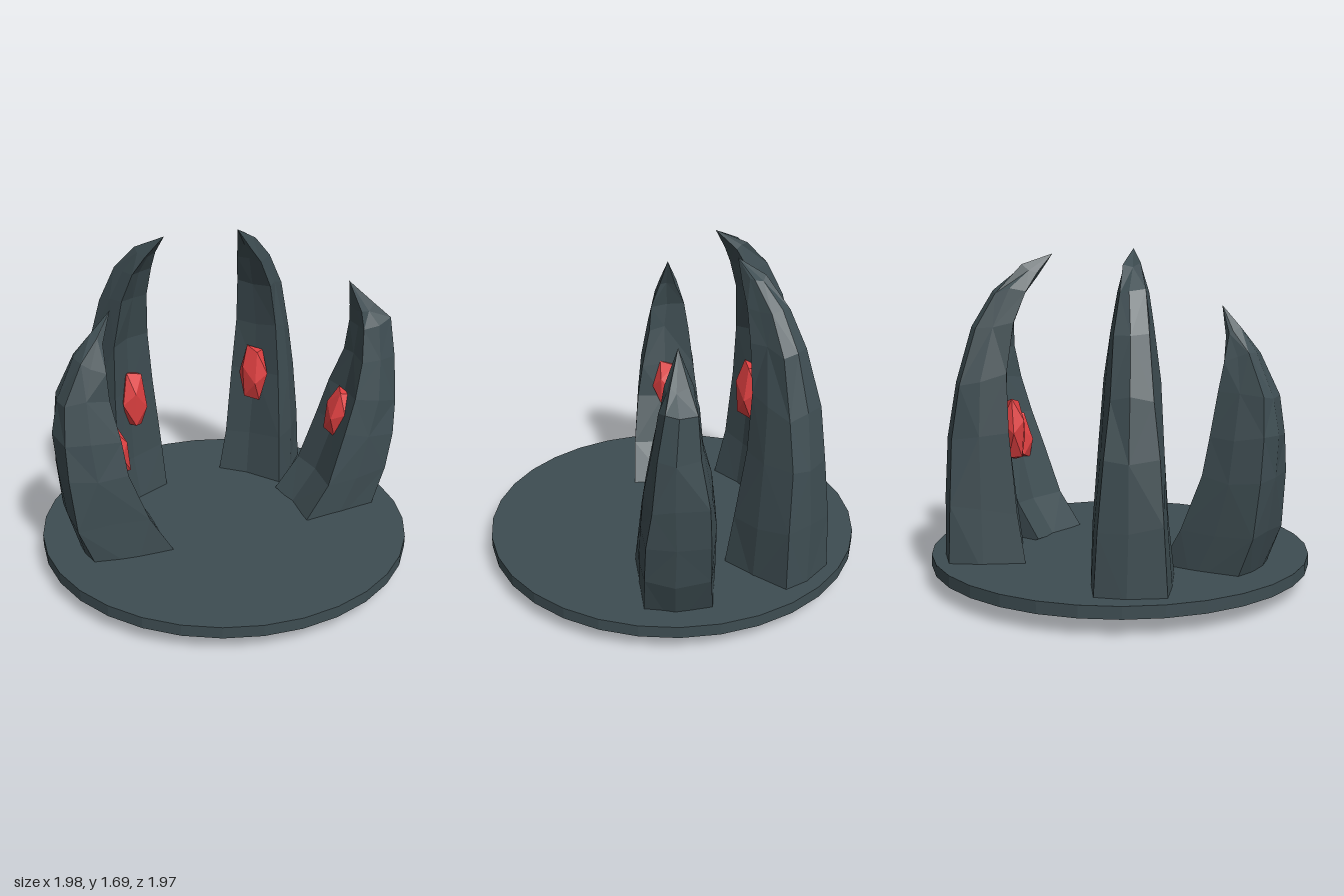
import * as THREE from 'three';

const stone = new THREE.MeshStandardMaterial({ color: 0x3e4d52, flatShading: true });
stone.name = 'slate stone';
const crystal = new THREE.MeshStandardMaterial({ color: 0xe04041, flatShading: true });
crystal.name = 'red crystal';

// Small repeatable noise in -1..1
function makeNoise(seed) {
  let s = seed;
  return () => {
    s = (s * 16807) % 2147483647;
    return (s / 2147483647) * 2 - 1;
  };
}

// Claw-shaped rock. Local +x points outward, z is the width.
// Each row: [inner y, inner x, outer y, outer x, half width]; tip: [y, x]
function spireGeometry(rows, tip, seed) {
  const noise = makeNoise(seed);
  const pos = [];
  const N = 8;
  rows.forEach(([yi, xi, yo, xo, w], r) => {
    // depth fraction (0 inner, 1 outer), x offset, width factor
    const ring = [
      [0, 0, -1], [0, 0.02, -0.1], [0, 0, 1], [0.45, 0, 0.97],
      [1, -0.025, 0.82], [1, 0, 0.1], [1, -0.025, -0.82], [0.5, 0, -0.97],
    ];
    const k = r === 0 ? 1.3 : 1;
    for (const [f, dx, z] of ring) {
      pos.push(
        xi + (xo - xi) * f + dx * Math.min(1, w / 0.1) + noise() * 0.008,
        Math.max(0, yi + (yo - yi) * f + noise() * 0.016 * k),
        w * z + noise() * 0.01,
      );
    }
  });
  const top = pos.length / 3;
  pos.push(tip[1], tip[0], 0);
  const [yi, xi, yo, xo] = rows[0];
  pos.push((xi + xo) / 2, (yi + yo) / 2 + 0.03, 0);
  const idx = [];
  for (let r = 0; r < rows.length; r++) {
    for (let j = 0; j < N; j++) {
      const a = r * N + j, b = r * N + (j + 1) % N;
      if (r === 0) idx.push(b, a, top + 1);
      if (r === rows.length - 1) idx.push(a, b, top);
      else if ((r + j) % 2) idx.push(a, b, b + N, a, b + N, a + N);
      else idx.push(a, b, a + N, b, b + N, a + N);
    }
  }
  const g = new THREE.BufferGeometry();
  g.setAttribute('position', new THREE.Float32BufferAttribute(pos, 3));
  g.setIndex(idx);
  const flat = g.toNonIndexed();
  flat.computeVertexNormals();
  return flat;
}

const rightRows = [
  [0.14, 0.38, 0.01, 0.77, 0.2], [0.34, 0.5, 0.34, 0.88, 0.19],
  [0.6, 0.585, 0.6, 0.905, 0.175], [0.8, 0.62, 0.8, 0.912, 0.155],
  [1.0, 0.65, 1.0, 0.89, 0.115], [1.15, 0.665, 1.2, 0.795, 0.085],
  [1.27, 0.65, 1.31, 0.695, 0.045],
];
const leftRows = [
  [0.14, 0.4, 0.01, 0.81, 0.2], [0.34, 0.53, 0.34, 0.93, 0.19],
  [0.6, 0.63, 0.55, 0.97, 0.175], [0.8, 0.7, 0.75, 0.99, 0.155],
  [1.0, 0.745, 1.0, 0.975, 0.115], [1.15, 0.765, 1.2, 0.955, 0.085],
  [1.25, 0.75, 1.28, 0.85, 0.06],
];
const backRows = [
  [0.11, 0.5, 0.11, 0.905, 0.195], [0.4, 0.54, 0.45, 0.895, 0.18],
  [0.8, 0.57, 0.75, 0.87, 0.15], [1.08, 0.57, 1.02, 0.83, 0.125],
  [1.33, 0.53, 1.3, 0.745, 0.095], [1.48, 0.47, 1.49, 0.635, 0.07],
  [1.57, 0.42, 1.61, 0.5, 0.045],
];

// origin and outward direction are [x, z]; gem: [x, y], lean, half sizes
const spires = [
  { name: 'rightSpire', rows: rightRows, tip: [1.42, 0.6], origin: [0, 0], dir: [-1, 0],
    gem: [0.6, 0.675], lean: -0.22, size: [0.065, 0.16, 0.09], seed: 11 },
  { name: 'leftSpire', rows: leftRows, tip: [1.42, 0.7], origin: [0, 0], dir: [1, 0],
    gem: [0.665, 0.675], lean: -0.25, size: [0.06, 0.155, 0.09], seed: 29 },
  { name: 'backRightSpire', rows: backRows, tip: [1.69, 0.32], origin: [-0.073, 0.04], dir: [-0.52, -0.85],
    gem: [0.565, 0.74], lean: -0.05, size: [0.065, 0.19, 0.09], seed: 53 },
  { name: 'backLeftSpire', rows: backRows, tip: [1.67, 0.34], origin: [-0.07, -0.087], dir: [0.77, -0.64],
    gem: [0.545, 0.79], lean: -0.05, size: [0.065, 0.185, 0.09], seed: 97 },
];

export function createModel() {
  const model = new THREE.Group();
  model.name = 'crystalShrine';

  // Round slab
  const base = new THREE.Mesh(new THREE.CylinderGeometry(0.986, 0.986, 0.06, 32), stone);
  base.name = 'baseDisc';
  base.position.set(-0.01, 0.115, 0);
  model.add(base);

  // Spires, each with a crystal set in its inner face
  for (const s of spires) {
    const group = new THREE.Group();
    group.name = s.name;
    group.position.set(s.origin[0], 0, s.origin[1]);
    group.rotation.y = Math.atan2(-s.dir[1], s.dir[0]);

    const rock = new THREE.Mesh(spireGeometry(s.rows, s.tip, s.seed), stone);
    rock.name = 'rock';
    group.add(rock);

    const gem = new THREE.Mesh(new THREE.IcosahedronGeometry(1, 0), crystal);
    gem.name = 'crystal';
    gem.geometry.rotateX(0.5);
    gem.scale.set(...s.size);
    gem.position.set(s.gem[0], s.gem[1], 0);
    gem.rotation.z = s.lean;
    group.add(gem);

    model.add(group);
  }
  return model;
}
